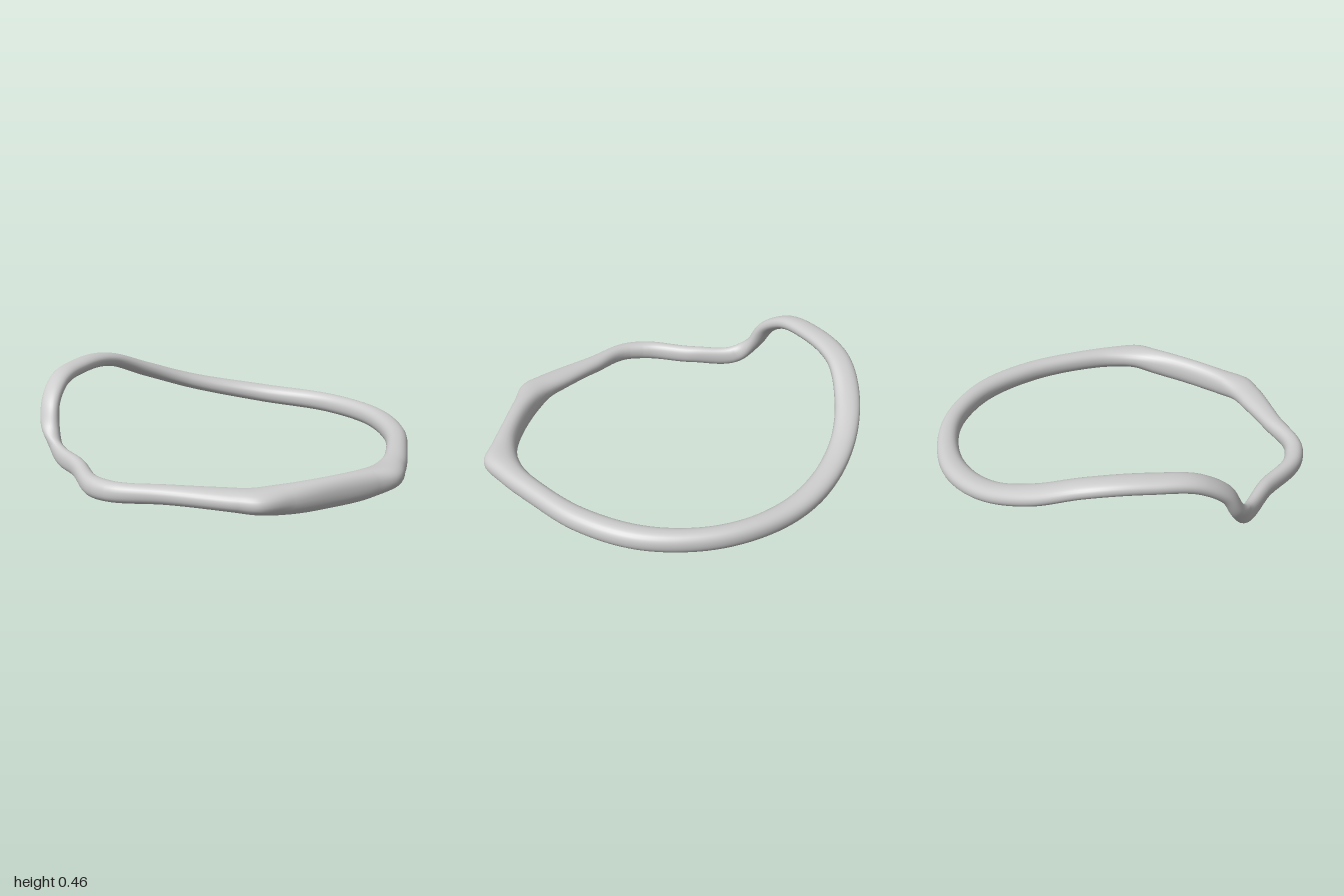
import * as THREE from 'three';

// Stations clockwise from the back:
// outer x, outer z, inner x, inner z, centre height, half thickness
const STATIONS = [
  [0.00, -0.98, -0.01, -0.875, 0.105, 0.054],
  [0.37, -0.90, 0.30, -0.805, 0.105, 0.054],
  [0.65, -0.68, 0.565, -0.60, 0.105, 0.054],
  [0.83, -0.41, 0.73, -0.36, 0.105, 0.054],
  [0.94, -0.21, 0.805, -0.19, 0.10, 0.056],
  [1.00, -0.05, 0.825, -0.05, 0.095, 0.06],
  [0.955, 0.06, 0.815, 0.06, 0.085, 0.071],
  [0.87, 0.26, 0.74, 0.28, 0.08, 0.075],
  [0.78, 0.48, 0.62, 0.48, 0.08, 0.069],
  [0.71, 0.64, 0.53, 0.565, 0.087, 0.055],
  [0.62, 0.695, 0.44, 0.62, 0.09, 0.05],
  [0.30, 0.835, 0.24, 0.745, 0.09, 0.045],
  [0.03, 0.96, 0.03, 0.865, 0.083, 0.049],
  [-0.06, 0.96, -0.06, 0.865, 0.078, 0.051],
  [-0.37, 0.81, -0.33, 0.745, 0.08, 0.05],
  [-0.62, 0.72, -0.58, 0.665, 0.10, 0.05],
  [-0.735, 0.675, -0.64, 0.64, 0.18, 0.038],
  [-0.80, 0.61, -0.685, 0.60, 0.30, 0.035],
  [-0.865, 0.50, -0.745, 0.49, 0.385, 0.037],
  [-0.95, 0.27, -0.82, 0.27, 0.42, 0.038],
  [-1.00, -0.02, -0.87, -0.02, 0.398, 0.038],
  [-0.96, -0.265, -0.825, -0.25, 0.305, 0.042],
  [-0.82, -0.54, -0.71, -0.48, 0.205, 0.044],
  [-0.47, -0.86, -0.40, -0.76, 0.12, 0.052],
];

// Closed cubic through the stations, with chord-length knots
function makeSampler(rows) {
  const n = rows.length;
  const row = (i) => rows[(i + n) % n];
  const step = (i) => {
    const a = row(i), b = row(i + 1);
    return Math.hypot(b[0] + b[2] - a[0] - a[2], b[1] + b[3] - a[1] - a[3], 2 * (b[4] - a[4])) / 2;
  };
  const slope = (i, k) => {
    const h0 = step(i - 1), h1 = step(i);
    const d0 = (row(i)[k] - row(i - 1)[k]) / h0;
    const d1 = (row(i + 1)[k] - row(i)[k]) / h1;
    return (d0 * h1 + d1 * h0) / (h0 + h1);
  };
  return (i, t) => row(i).map((p, k) => {
    const h = step(i), q = row(i + 1)[k], t2 = t * t, t3 = t2 * t;
    return (2 * t3 - 3 * t2 + 1) * p + (t3 - 2 * t2 + t) * h * slope(i, k)
      + (3 * t2 - 2 * t3) * q + (t3 - t2) * h * slope(i + 1, k);
  });
}

function bandGeometry(sub = 10, sides = 28) {
  const sample = makeSampler(STATIONS);
  const rings = [];
  for (let i = 0; i < STATIONS.length; i++) {
    for (let s = 0; s < sub; s++) {
      const [ox, oz, ix, iz, y, half] = sample(i, s / sub);
      rings.push({
        centre: new THREE.Vector3((ox + ix) / 2, y, (oz + iz) / 2),
        out: new THREE.Vector3((ox - ix) / 2, 0, (oz - iz) / 2),
        half,
      });
    }
  }
  const n = rings.length, positions = [], index = [];
  const round = (c) => Math.sign(c) * Math.abs(c) ** 0.9;
  rings.forEach(({ centre, out, half }, i) => {
    const tangent = rings[(i + 1) % n].centre.clone().sub(rings[(i + n - 1) % n].centre);
    const up = tangent.cross(out).setLength(half);
    for (let j = 0; j < sides; j++) {
      const a = (j / sides) * Math.PI * 2;
      const p = centre.clone()
        .addScaledVector(out, round(Math.cos(a)))
        .addScaledVector(up, round(Math.sin(a)));
      positions.push(p.x, p.y, p.z);
      const k = (j + 1) % sides, r0 = i * sides, r1 = ((i + 1) % n) * sides;
      index.push(r0 + j, r0 + k, r1 + j, r0 + k, r1 + k, r1 + j);
    }
  });
  const geometry = new THREE.BufferGeometry();
  geometry.setAttribute('position', new THREE.Float32BufferAttribute(positions, 3));
  geometry.setIndex(index);
  geometry.computeVertexNormals();
  return geometry;
}

export function createModel() {
  const group = new THREE.Group();
  group.name = 'bentRing';
  // One continuous band, raised on its right and faceted on its left
  const band = new THREE.Mesh(bandGeometry(), new THREE.MeshStandardMaterial({ color: 0xcccccc }));
  band.name = 'band';
  group.add(band);
  return group;
}
